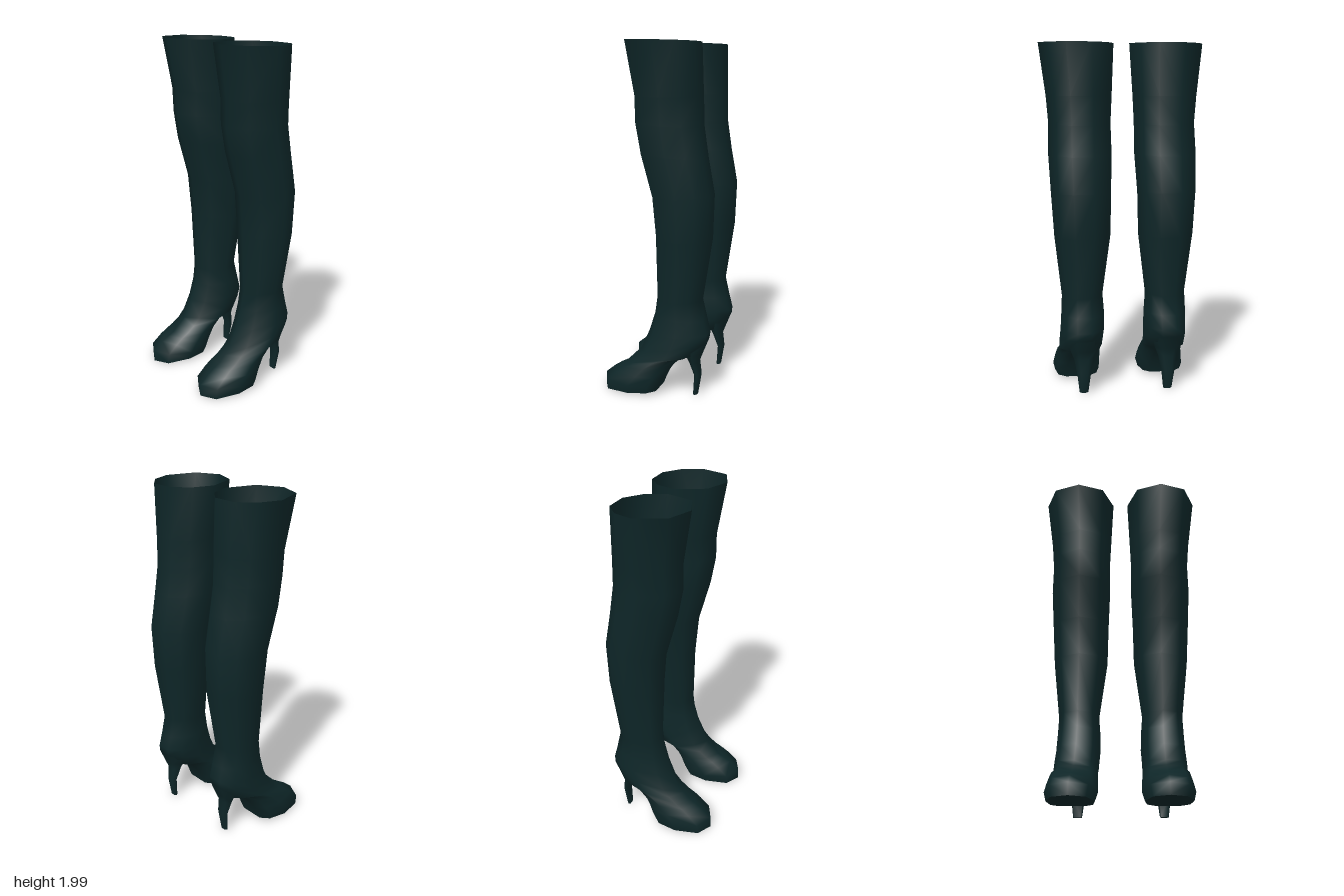
import * as THREE from 'three';

const leather = new THREE.MeshStandardMaterial({ color: 0x0e2628, side: THREE.DoubleSide });
leather.name = 'dark teal leather';

// Skin a list of closed rings that run from top to bottom; s = -1 mirrors in x.
function loft(rings, s, capEnd = false) {
  const n = rings[0].length;
  const pos = [];
  const idx = [];
  const tri = (a, b, c) => (s > 0 ? idx.push(a, b, c) : idx.push(a, c, b));
  const add = (p) => pos.push(s * p[0], p[1], p[2]);
  rings.forEach((ring) => ring.forEach(add));
  for (let i = 0; i < rings.length - 1; i++) {
    for (let j = 0; j < n; j++) {
      const k = (j + 1) % n;
      const a = i * n + j, b = i * n + k, c = a + n, d = b + n;
      tri(a, c, b);
      tri(b, c, d);
    }
  }
  if (capEnd) {
    const start = pos.length / 3;
    const last = rings[rings.length - 1];
    last.forEach(add);
    for (let j = 1; j < n - 1; j++) tri(start, start + j + 1, start + j);
  }
  const g = new THREE.BufferGeometry();
  g.setAttribute('position', new THREE.Float32BufferAttribute(pos, 3));
  g.setIndex(idx);
  g.computeVertexNormals();
  return g;
}

// Nine-sided section, stretched between a front point and a back point.
// wide (0..1) squares off the back corners for the sole.
function section([zf, yf, zb, yb, xIn, xOut, wide = 0]) {
  const cx = (xIn + xOut) / 2, w = (xOut - xIn) / 2;
  const half = [
    [0.7, 0.14],
    [1, 0.54],
    [0.78 + 0.14 * wide, 0.82 + 0.06 * wide],
    [0.34 + 0.26 * wide, 1],
  ];
  const outline = [[0, 0], ...half, ...half.slice().reverse().map(([x, t]) => [-x, t])];
  return outline.map(([x, t]) => [cx + x * w, yf + (yb - yf) * t, zf + (zb - zf) * t]);
}

// front z, front y, back z, back y, inner x, outer x, sole squareness
const UPPER = [
  [0.18, 2.0, -0.24, 1.99, 0.045, 0.47],
  [0.13, 1.7, -0.25, 1.7, 0.06, 0.432],
  [0.13, 1.56, -0.255, 1.54, 0.067, 0.42],
  [0.1, 1.4, -0.28, 1.37, 0.065, 0.425],
  [0.03, 1.15, -0.318, 1.17, 0.075, 0.415],
  [0.01, 0.92, -0.31, 0.92, 0.08, 0.4],
  [0.0, 0.57, -0.26, 0.57, 0.125, 0.36],
  [0.015, 0.47, -0.285, 0.46, 0.117, 0.365],
  [0.05, 0.36, -0.305, 0.38, 0.115, 0.37],
  [0.1, 0.25, -0.3, 0.34, 0.12, 0.375],
  [0.14, 0.21, -0.255, 0.26, 0.122, 0.375],
  [0.18, 0.17, -0.18, 0.25, 0.122, 0.38, 0.1],
  [0.22, 0.15, -0.11, 0.19, 0.12, 0.385, 0.3],
  [0.26, 0.125, -0.06, 0.12, 0.117, 0.393, 0.6],
  [0.32, 0.075, -0.03, 0.06, 0.115, 0.4, 0.8],
  [0.32, 0.007, -0.02, 0.028, 0.13, 0.388, 0.8],
];

// y, front z, back z, half width
const HEEL = [
  [0.33, -0.16, -0.295, 0.09],
  [0.26, -0.185, -0.268, 0.075],
  [0.21, -0.205, -0.25, 0.055],
  [0.13, -0.232, -0.262, 0.04],
  [0.01, -0.222, -0.244, 0.025],
];

function heelSection([y, zf, zb, w]) {
  const zm = (zf + zb) / 2, cx = 0.245;
  return [
    [cx - w * 0.7, y, zf], [cx + w * 0.7, y, zf], [cx + w, y, zm],
    [cx + w * 0.5, y, zb], [cx - w * 0.5, y, zb], [cx - w, y, zm],
  ];
}

function makeBoot(s) {
  const boot = new THREE.Group();
  boot.name = s > 0 ? 'leftBoot' : 'rightBoot';
  const upper = new THREE.Mesh(loft(UPPER.map(section), s, true), leather);
  upper.name = 'shaftAndFoot';
  const heel = new THREE.Mesh(loft(HEEL.map(heelSection), s, true), leather);
  heel.name = 'heel';
  boot.add(upper, heel);
  return boot;
}

export function createModel() {
  const model = new THREE.Group();
  model.name = 'boots';
  model.add(makeBoot(1), makeBoot(-1));
  return model;
}
